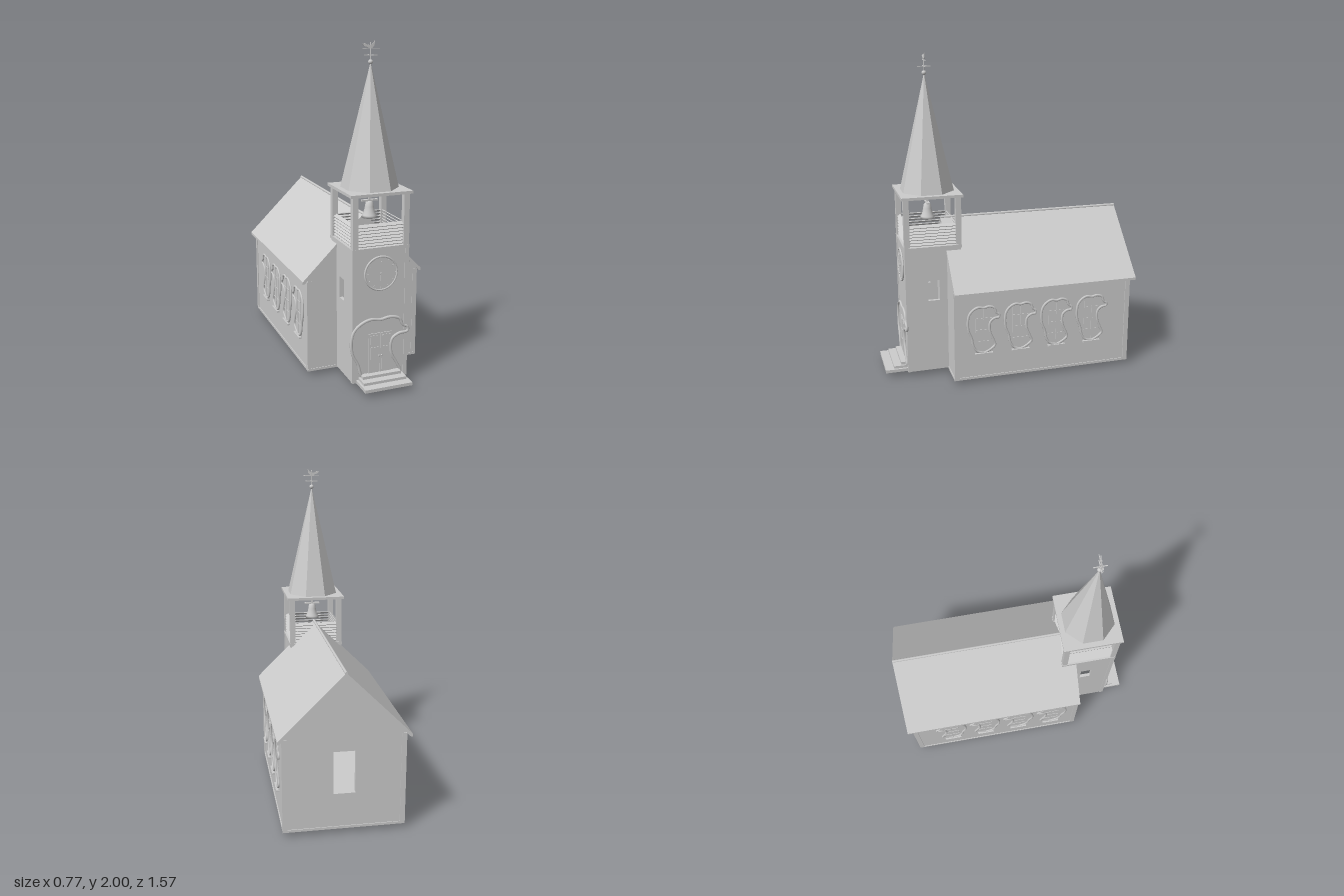
import * as THREE from 'three';

const stone = new THREE.MeshStandardMaterial({ color: 0xcccccc });
stone.name = 'pale grey';

export function createModel() {
  const root = new THREE.Group();
  root.name = 'church';

  const add = (name, geo, x = 0, y = 0, z = 0, parent = root) => {
    const m = new THREE.Mesh(geo, stone);
    m.name = name;
    m.position.set(x, y, z);
    parent.add(m);
    return m;
  };
  // box given by its extents
  const box = (name, x0, x1, y0, y1, z0, z1, parent = root) =>
    add(name, new THREE.BoxGeometry(x1 - x0, y1 - y0, z1 - z0),
      (x0 + x1) / 2, (y0 + y1) / 2, (z0 + z1) / 2, parent);
  const group = (name, parent = root) => {
    const g = new THREE.Group();
    g.name = name;
    parent.add(g);
    return g;
  };
  // flat wall with an optional rectangular hole [x0, x1, y0, y1]
  const wall = (pts, depth, hole) => {
    const s = new THREE.Shape(pts.map(p => new THREE.Vector2(...p)));
    if (hole) {
      const [a, b, c, d] = hole;
      s.holes.push(new THREE.Path([[a, c], [a, d], [b, d], [b, c]].map(p => new THREE.Vector2(...p))));
    }
    return new THREE.ExtrudeGeometry(s, { depth, bevelEnabled: false });
  };

  // ---- nave ----
  const gable = [[-0.355, 0.035], [0.355, 0.035], [0.355, 0.612], [0, 0.972], [-0.355, 0.612]];
  add('naveBackWall', wall(gable, 0.03, [-0.065, 0.065, 0.25, 0.51]), 0, 0, -0.75);
  add('naveFrontWall', wall(gable, 0.02), 0, 0, 0.368);
  box('naveFloor', -0.36, 0.36, 0.03, 0.045, -0.755, 0.392);
  for (const s of [-1, 1]) {
    box('naveSideWall', s * 0.34 - 0.015, s * 0.34 + 0.015, 0.035, 0.6, -0.75, 0.388);
    for (const z of [-0.74, 0.375])
      box('naveCornerBoard', s * 0.346 - 0.015, s * 0.346 + 0.015, 0.045, 0.6, z - 0.015, z + 0.015);
  }
  add('naveRoof', wall([[-0.387, 0.588], [-0.375, 0.588], [0, 0.968], [0.375, 0.588], [0.387, 0.588],
    [0.387, 0.603], [0, 0.987], [-0.387, 0.603]], 1.172), 0, 0, -0.782);
  const ridge = add('ridgeCap', new THREE.CylinderGeometry(0.009, 0.009, 1.172, 8), 0, 0.984, -0.196);
  ridge.rotation.x = Math.PI / 2;

  // ---- wavy trim, shared by door and windows ----
  const trimPoints = [[-0.08, 0.03], [-0.12, 0.08], [-0.14, 0.15], [-0.175, 0.22], [-0.182, 0.3], [-0.165, 0.36],
    [-0.12, 0.4], [-0.06, 0.42], [0, 0.412], [0.06, 0.421], [0.12, 0.405], [0.145, 0.36], [0.175, 0.345],
    [0.175, 0.318], [0.12, 0.31], [0.075, 0.28], [0.07, 0.2], [0.11, 0.12], [0.13, 0.07], [0.07, 0.03], [0, 0.01]];
  const trim = (sx, sy, y0, r, flat) => {
    const pts = trimPoints.map(([x, y]) => new THREE.Vector3(x * sx, y0 + y * sy, 0));
    const g = new THREE.TubeGeometry(new THREE.CatmullRomCurve3(pts, true), 100, r, 6, true);
    return g.scale(1, 1, flat);
  };

  // ---- side windows ----
  const windowTrim = trim(0.55, 0.73, 0.193, 0.008, 0.9);
  for (const s of [-1, 1]) {
    for (let i = 0; i < 4; i++) {
      const w = group('sideWindow');
      w.position.set(s * 0.356, 0, 0.205 - i * 0.235);
      w.rotation.y = s * Math.PI / 2;
      box('windowPane', -0.05, 0.05, 0.2, 0.5, -0.003, 0.002, w);
      box('windowMullion', -0.003, 0.003, 0.2, 0.5, 0, 0.006, w);
      for (const y of [0.275, 0.35, 0.425]) box('windowBar', -0.05, 0.05, y - 0.003, y + 0.003, 0, 0.005, w);
      box('windowSill', -0.056, 0.056, 0.19, 0.201, -0.003, 0.018, w);
      const t = add('windowTrim', windowTrim, 0, 0, 0.003, w);
      if (s < 0) t.rotation.y = Math.PI;
    }
  }

  // ---- tower, open underneath ----
  const TZ = 0.472;
  const tower = group('tower');
  box('towerFrontWall', -0.172, 0.172, 0.035, 0.83, 0.625, 0.645, tower);
  box('towerBackWall', -0.172, 0.172, 0.6, 0.83, 0.3, 0.32, tower);
  for (const s of [-1, 1]) {
    const side = add('towerSideWall', wall([[-0.645, 0.035], [-0.3, 0.035], [-0.3, 0.83], [-0.645, 0.83]],
      0.02, [-0.51, -0.437, 0.5, 0.63]), s > 0 ? 0.152 : -0.172, 0, 0, tower);
    side.rotation.y = Math.PI / 2;
    box('towerCornerBoard', s * 0.164 - 0.012, s * 0.164 + 0.012, 0.035, 0.83, 0.625, 0.649, tower);
  }
  box('belfryDeck', -0.178, 0.178, 0.83, 0.85, 0.293, 0.65, tower);

  // ---- belfry ----
  const belfry = group('belfry');
  belfry.position.z = TZ;
  for (const x of [-1, 1]) for (const z of [-1, 1])
    box('belfryPost', x * 0.158 - 0.017, x * 0.158 + 0.017, 0.85, 1.15, z * 0.16 - 0.017, z * 0.16 + 0.017, belfry);
  for (let k = 0; k < 4; k++) {
    const rail = group('louvreSide', belfry);
    rail.rotation.y = k * Math.PI / 2;
    for (let i = 0; i < 7; i++) {
      const slat = add('louvreSlat', new THREE.BoxGeometry(0.285, 0.005, 0.024), 0, 0.865 + i * 0.0185, 0.158, rail);
      slat.rotation.x = 0.6;
    }
  }
  box('belfryCeiling', -0.19, 0.19, 1.15, 1.167, -0.188, 0.188, belfry);

  // ---- bell ----
  const bell = [[0, 0.985], [0.045, 0.985], [0.042, 1.0], [0.032, 1.02], [0.026, 1.05], [0.022, 1.075], [0.012, 1.084], [0, 1.086]];
  add('bell', new THREE.LatheGeometry(bell.map(p => new THREE.Vector2(...p)), 24), 0, 0, 0, belfry);
  box('bellYoke', -0.05, 0.05, 1.083, 1.092, -0.01, 0.01, belfry);
  box('bellHanger', -0.005, 0.005, 1.09, 1.15, -0.005, 0.005, belfry);

  // ---- spire: eight flat sides ----
  const spire = new THREE.ConeGeometry(0.17, 0.715, 8).toNonIndexed();
  spire.computeVertexNormals();
  add('spire', spire, 0, 1.5245, TZ).rotation.y = Math.PI / 8;

  // ---- weather vane ----
  const vane = group('weatherVane');
  vane.position.z = TZ;
  add('vaneBall', new THREE.SphereGeometry(0.014, 16, 12), 0, 1.882, 0, vane);
  add('vaneRod', new THREE.CylinderGeometry(0.003, 0.003, 0.11, 8), 0, 1.935, 0, vane);
  box('vaneCrossArm', -0.04, 0.04, 1.917, 1.922, -0.0025, 0.0025, vane);
  box('vaneCrossArm', -0.0025, 0.0025, 1.917, 1.922, -0.04, 0.04, vane);
  box('vaneArrow', -0.05, 0.055, 1.954, 1.958, -0.002, 0.002, vane);
  add('vaneBird', wall([[-0.008, 1.957], [0.008, 1.957], [0.022, 1.972], [0.026, 2.0], [0.014, 1.985],
    [0, 1.975], [-0.02, 1.976], [-0.035, 1.985], [-0.05, 1.982], [-0.04, 1.97], [-0.025, 1.964]], 0.004), 0, 0, -0.002, vane);

  // ---- clock ----
  const clock = group('clock');
  clock.position.set(0, 0.695, 0.645);
  add('clockFace', new THREE.CylinderGeometry(0.1, 0.1, 0.01, 40), 0, 0, 0.002, clock).rotation.x = Math.PI / 2;
  add('clockRim', new THREE.TorusGeometry(0.1, 0.006, 8, 40), 0, 0, 0.005, clock);
  add('clockHub', new THREE.CylinderGeometry(0.006, 0.006, 0.008, 12), 0, 0, 0.01, clock).rotation.x = Math.PI / 2;
  box('clockMinuteHand', -0.002, 0.002, 0, 0.07, 0.007, 0.01, clock);
  box('clockHourHand', -0.0025, 0.0025, -0.045, 0, 0.007, 0.01, clock);
  for (let i = 0; i < 12; i++) {
    const a = i * Math.PI / 6;
    add('clockMark', new THREE.BoxGeometry(0.004, 0.012, 0.003), Math.sin(a) * 0.086, Math.cos(a) * 0.086, 0.008, clock)
      .rotation.z = -a;
  }

  // ---- double door and steps ----
  const door = group('door');
  for (const s of [-1, 1]) {
    box('doorLeaf', s * 0.0375 - 0.0365, s * 0.0375 + 0.0365, 0.085, 0.33, 0.64, 0.65, door);
    for (const [y0, y1] of [[0.1, 0.245], [0.262, 0.318]])
      box('doorPanel', s * 0.0375 - 0.026, s * 0.0375 + 0.026, y0, y1, 0.648, 0.653, door);
    add('doorKnob', new THREE.SphereGeometry(0.005, 10, 8), s * 0.008, 0.19, 0.654, door);
  }
  add('doorTrim', trim(1, 1, 0, 0.009, 1), 0, 0, 0.65, door);
  box('topStep', -0.122, 0.122, 0.066, 0.085, 0.64, 0.685);
  box('middleStep', -0.135, 0.135, 0.05, 0.068, 0.64, 0.732);
  box('bottomStep', -0.148, 0.148, 0.033, 0.052, 0.64, 0.785);

  return root;
}
